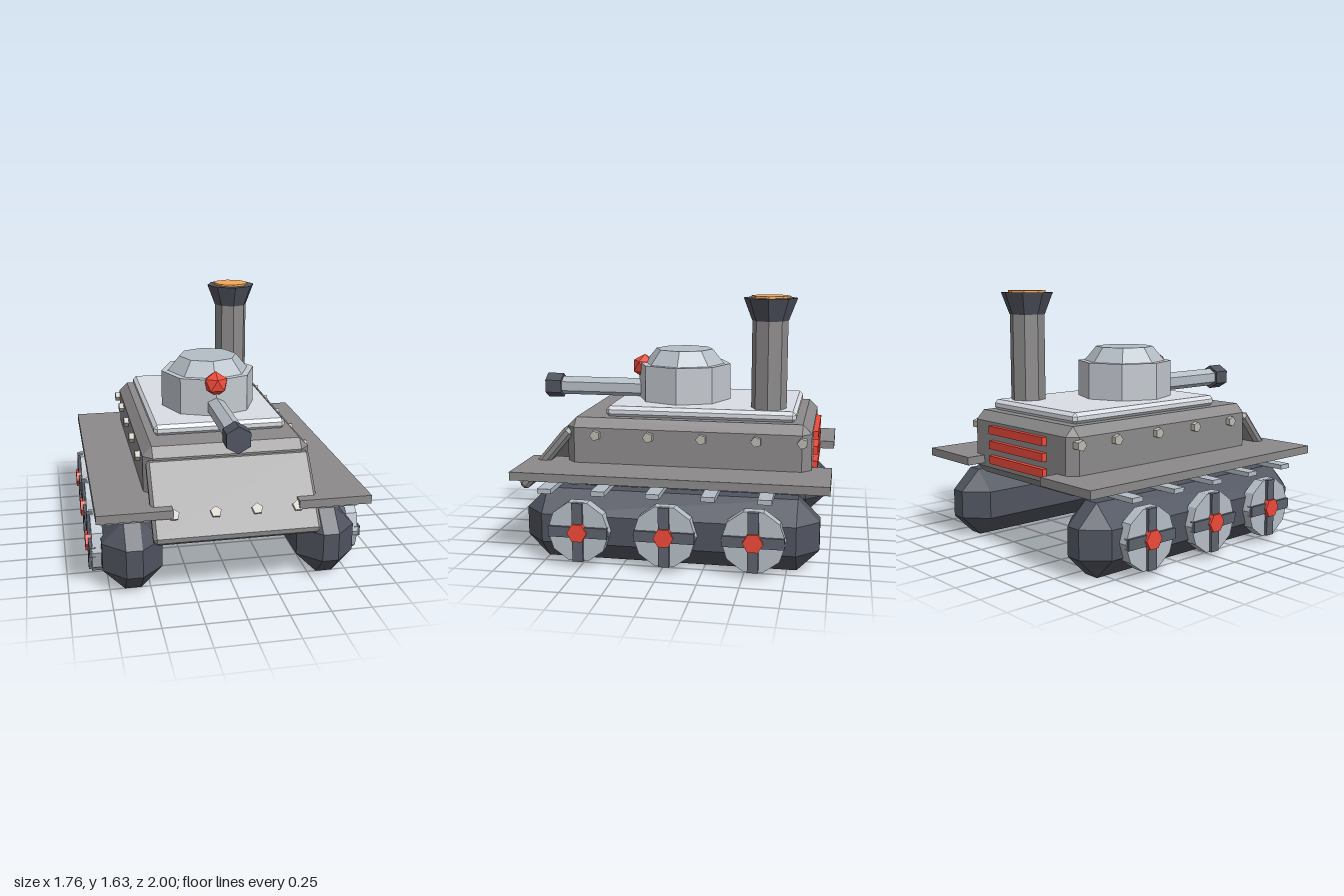
import * as THREE from 'three';
import { ConvexGeometry } from 'three/addons/geometries/ConvexGeometry.js';

const mat = (color) => new THREE.MeshStandardMaterial({ color, flatShading: true });
const hullGrey = mat(0x8c8a8b), dark = mat(0x50545f), barGrey = mat(0x5e626d);
const steel = mat(0xb6bec6), deckGrey = mat(0xdadde4), turretGrey = mat(0xc4c9d0);
const red = mat(0xee4a3a), orange = mat(0xf4a85a), rivetGrey = mat(0xbcbab0);

// Box with every edge and corner cut by c
function chamferBox(w, h, d, c) {
  const x = w / 2, y = h / 2, z = d / 2, points = [];
  for (const i of [-1, 1]) for (const j of [-1, 1]) for (const k of [-1, 1]) {
    points.push(
      new THREE.Vector3(i * x, j * (y - c), k * (z - c)),
      new THREE.Vector3(i * (x - c), j * y, k * (z - c)),
      new THREE.Vector3(i * (x - c), j * (y - c), k * z));
  }
  return new ConvexGeometry(points);
}

const box = (w, h, d) => new THREE.BoxGeometry(w, h, d);
const cyl = (top, bottom, h, sides) => new THREE.CylinderGeometry(top, bottom, h, sides);
const cylX = (r, h, sides) => cyl(r, r, h, sides).rotateZ(-Math.PI / 2);
const cylZ = (r, h, sides) => cyl(r, r, h, sides).rotateX(Math.PI / 2);

export function createModel() {
  const model = new THREE.Group();
  const add = (name, geometry, material, x, y, z, parent = model) => {
    const mesh = new THREE.Mesh(geometry, material);
    mesh.name = name;
    mesh.position.set(x, y, z);
    parent.add(mesh);
    return mesh;
  };

  // Hull and deck
  add('hull', chamferBox(1.036, 0.412, 1.55, 0.057), hullGrey, 0, 0.655, -0.1);
  add('deck', chamferBox(0.842, 0.07, 1.21, 0.022), deckGrey, 0, 0.893, -0.168);

  // Sloping front plate with a row of rivets
  const slope = new THREE.Group();
  slope.name = 'frontSlope';
  slope.position.set(0, 0.586, 0.82);
  slope.rotation.x = -0.7;
  model.add(slope);
  add('frontPlate', chamferBox(1.01, 0.515, 0.07, 0.02), hullGrey, 0, 0, 0, slope);
  for (const x of [-0.375, -0.125, 0.125, 0.375]) {
    add('frontRivet', cylZ(0.035, 0.05, 5).rotateZ(Math.PI), rivetGrey, x, -0.1, 0.03, slope);
  }

  // Rear vents
  for (const y of [0.566, 0.662, 0.758]) add('rearVent', box(0.56, 0.052, 0.05), red, 0, y, -0.882);

  // Turret, gun and lamp
  add('turret', cyl(0.31, 0.31, 0.24, 8), turretGrey, 0, 1.044, 0);
  add('turretDome', cyl(0.19, 0.268, 0.095, 8), steel, 0, 1.211, 0);
  add('barrel', cylZ(0.062, 0.62, 6), steel, 0, 0.987, 0.55);
  add('muzzle', cylZ(0.083, 0.11, 6), dark, 0, 0.987, 0.9);
  add('lamp', new THREE.IcosahedronGeometry(0.082, 0).rotateX(-1.08), red, 0, 1.133, 0.276);

  // Chimney
  add('chimney', cyl(0.112, 0.112, 0.58, 8), hullGrey, 0.28, 1.193, -0.592);
  add('chimneyFlare', cyl(0.168, 0.114, 0.14, 8), dark, 0.28, 1.548, -0.592);
  add('chimneyGlow', cyl(0.12, 0.12, 0.02, 8), orange, 0.28, 1.621, -0.592);

  // Running gear, mirrored on both sides
  for (const s of [-1, 1]) {
    add('fender', box(0.45, 0.052, 1.94), hullGrey, s * 0.605, 0.551, -0.03);
    add('track', chamferBox(0.366, 0.444, 1.828, 0.133), dark, s * 0.607, 0.222, -0.028);
    for (let i = 0; i < 5; i++) {
      add('trackLink', box(0.4, 0.03, 0.085), steel, s * 0.6, 0.457, 0.73 - i * 0.338);
    }
    for (const z of [0.475, 0.135, -0.2, -0.54, -0.822]) {
      add('sideRivet', cylX(0.034, 0.05, 5), rivetGrey, s * 0.525, 0.76, z);
    }
    for (const z of [0.505, -0.028, -0.562]) {
      const wheel = new THREE.Group();
      wheel.name = 'wheel';
      wheel.position.set(s * 0.81, 0.226, z);
      model.add(wheel);
      add('wheelDisc', cylX(0.193, 0.07, 10), steel, 0, 0, 0, wheel);
      add('verticalSpoke', box(0.04, 0.368, 0.066), barGrey, s * 0.033, 0, 0, wheel);
      add('horizontalSpoke', box(0.038, 0.066, 0.37), barGrey, s * 0.033, 0, 0, wheel);
      add('hub', cylX(0.062, 0.04, 6), red, s * 0.048, 0, 0, wheel);
    }
  }
  return model;
}
